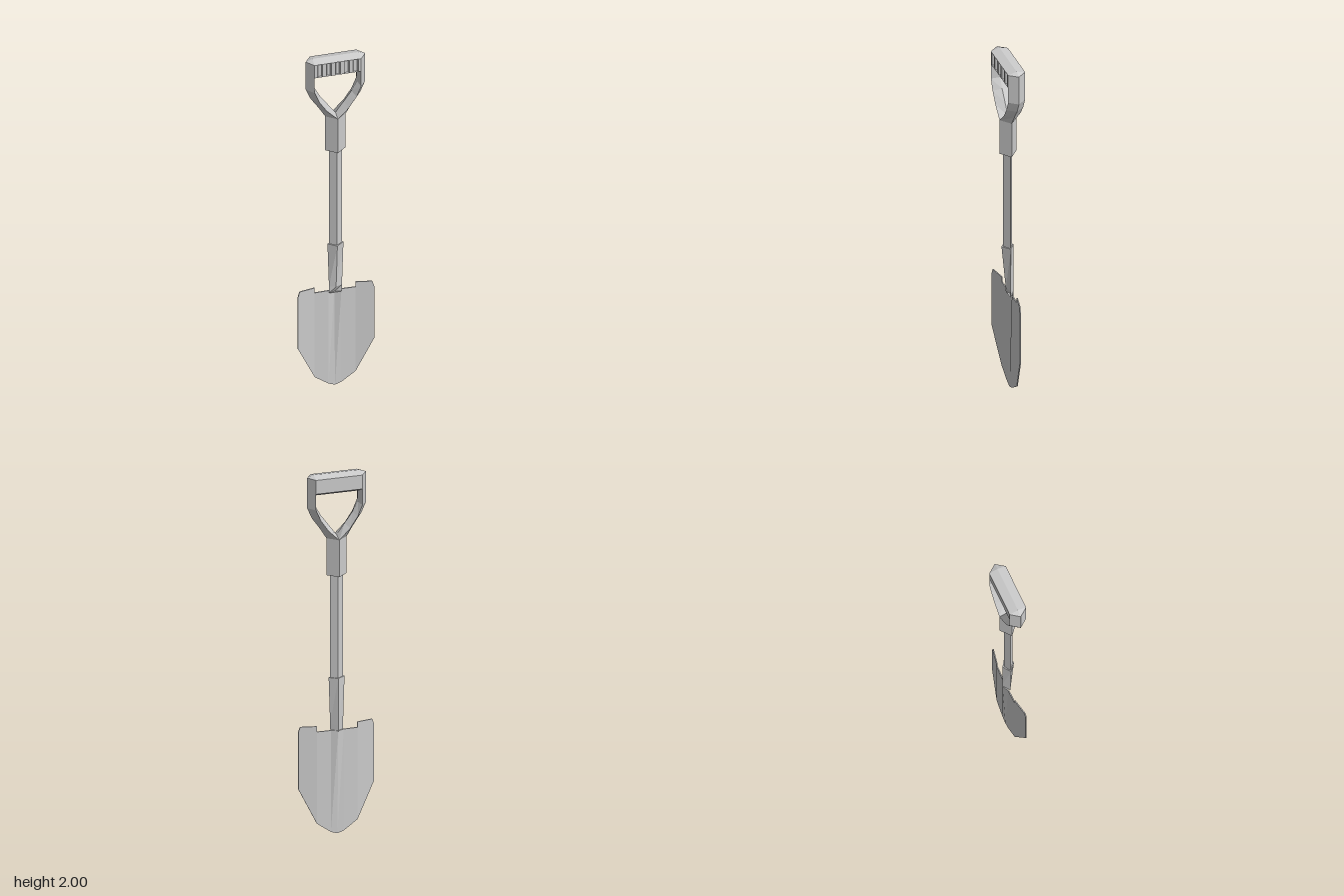
import * as THREE from 'three';

const material = new THREE.MeshStandardMaterial({ color: 0xcccccc, flatShading: true });

// Closed faceted solid through a list of equal-length rings of [x, y, z]
function loft(name, rings) {
  const n = rings[0].length, tris = [];
  for (let r = 0; r < rings.length - 1; r++) {
    for (let i = 0; i < n; i++) {
      const j = (i + 1) % n;
      const a = rings[r][i], b = rings[r][j], c = rings[r + 1][j], d = rings[r + 1][i];
      tris.push([a, b, c], [a, c, d]);
    }
  }
  const last = rings[rings.length - 1];
  for (let i = 1; i < n - 1; i++) {
    tris.push([rings[0][0], rings[0][i + 1], rings[0][i]], [last[0], last[i], last[i + 1]]);
  }
  // Signed volume tells whether the corners need reversing
  let volume = 0;
  for (const t of tris) {
    const [a, b, c] = t.map(p => new THREE.Vector3(...p));
    volume += a.dot(b.cross(c));
  }
  if (volume < 0) tris.forEach(t => t.reverse());
  const geometry = new THREE.BufferGeometry();
  geometry.setAttribute('position', new THREE.Float32BufferAttribute(tris.flat(2), 3));
  geometry.computeVertexNormals();
  const mesh = new THREE.Mesh(geometry, material);
  mesh.name = name;
  return mesh;
}

// Diamond-shaped cross-section at height y
const diamond = (y, halfX, front, back) => [[halfX, y, 0], [0, y, front], [-halfX, y, 0], [0, y, back]];

// Blade: columns across x, each with front and back corners at top and bottom
function makeBlade() {
  const thick = 0.006;
  const column = (x, top, bottom, z) =>
    [[x, top, z], [x, top, z - thick], [x, bottom, z - thick], [x, bottom, z]];
  const half = [
    [0.205, 0.575, 0.26, 0.013],
    [0.195, 0.605, 0.24, 0.011],
    [0.11, 0.605, 0.065, -0.006],
    [0.11, 0.575, 0.065, -0.006],
    [0.035, 0.575, 0.012, -0.008],
  ];
  // Pressed centre fold, deep at the socket and shallow at the tip
  const fold = [[0, 0.575, -0.023], [0, 0.575, -0.03], [0, 0, -0.014], [0, 0, -0.008]];
  return loft('blade', [
    ...half.map(([x, t, b, z]) => column(-x, t, b, z)),
    fold,
    ...half.slice().reverse().map(([x, t, b, z]) => column(x, t, b, z)),
  ]);
}

// Handle grip: bar with a ridge above and below, and finger grooves in front
function makeGrip() {
  const ring = (x, zFront) => [
    [x, 2, 0], [x, 1.987, 0.047], [x, 1.985, zFront], [x, 1.912, zFront],
    [x, 1.91, 0.047], [x, 1.885, 0], [x, 1.91, -0.047], [x, 1.987, -0.047],
  ];
  const rings = [ring(-0.125, 0.047)];
  for (let i = -2; i <= 2; i++) {
    const x = i * 0.048;
    rings.push(ring(x - 0.014, 0.047), ring(x - 0.009, 0.037), ring(x + 0.009, 0.037), ring(x + 0.014, 0.047));
  }
  rings.push(ring(0.125, 0.047));
  return loft('grip', rings);
}

// Curved arm of the handle; side is 1 or -1
function makeArm(name, side) {
  // outer x, middle x, inner x, y, inner y
  const stations = [
    [0.125, 0.125, 0.125, 2, 2],
    [0.16, 0.125, 0.112, 1.987, 1.987],
    [0.16, 0.125, 0.115, 1.82, 1.825],
    [0.134, 0.1, 0.086, 1.76, 1.772],
    [0.092, 0.06, 0.043, 1.7, 1.713],
    [0.055, 0, 0, 1.64, 1.655],
  ];
  return loft(name, stations.map(([outer, mid, inner, y, innerY], i) => {
    const z = i === 0 ? 0 : 0.047;
    return [[side * outer, y, 0], [side * mid, y, z], [side * inner, innerY, 0], [side * mid, y, -z]];
  }));
}

export function createModel() {
  const model = new THREE.Group();
  model.name = 'shovel';
  model.add(
    makeBlade(),
    // Tapered socket that runs down into the blade
    loft('socket', [
      diamond(0.865, 0.043, 0.036, -0.03),
      diamond(0.605, 0.035, 0.012, -0.03),
      diamond(0.565, 0.034, -0.012, -0.029),
    ]),
    loft('shaft', [diamond(0.8, 0.036, 0.027, -0.022), diamond(1.45, 0.036, 0.027, -0.022)]),
    loft('handleCollar', [diamond(1.435, 0.055, 0.047, -0.047), diamond(1.64, 0.055, 0.047, -0.047)]),
    makeArm('leftArm', 1),
    makeArm('rightArm', -1),
    makeGrip(),
  );
  return model;
}
